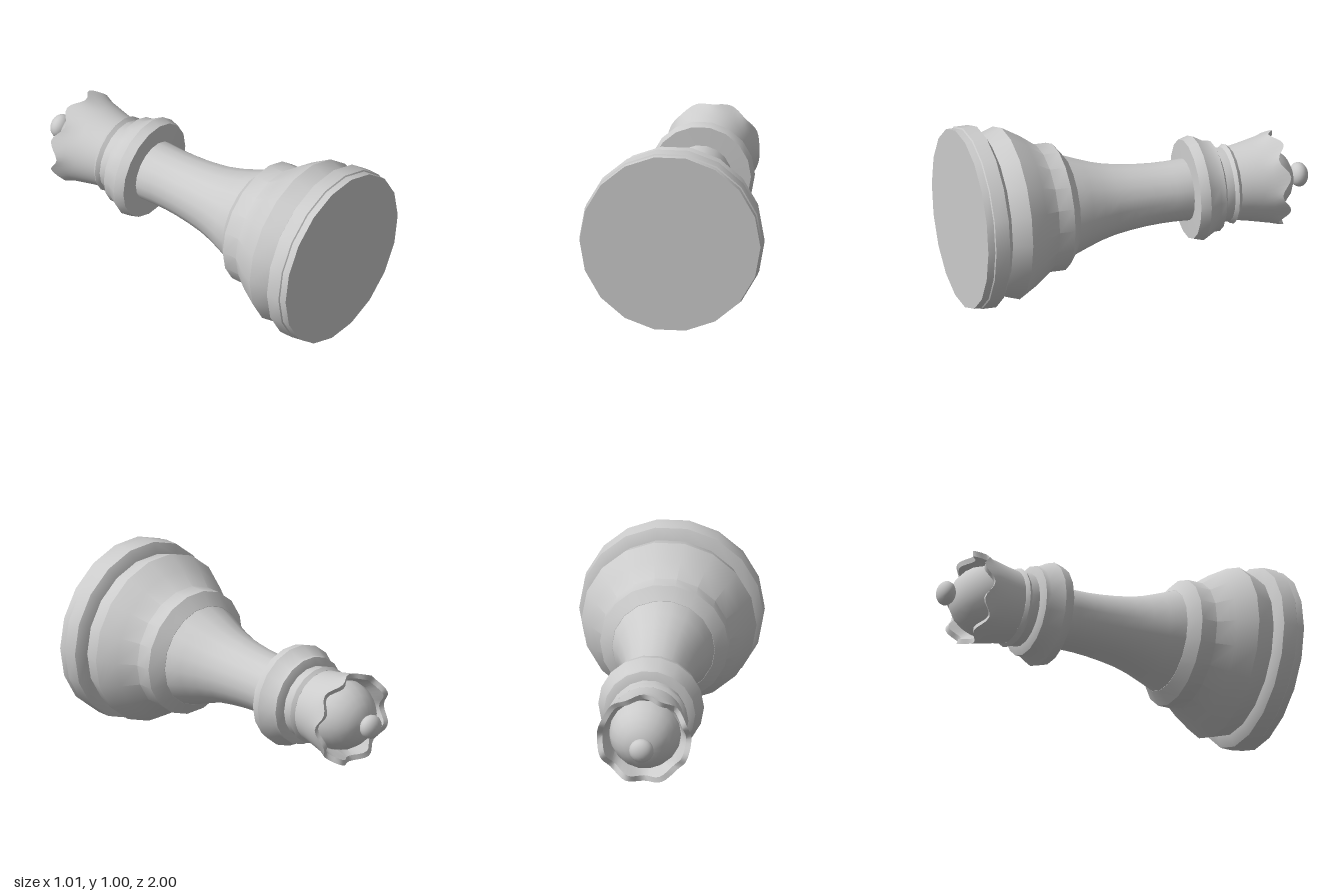
import * as THREE from 'three';
import { toCreasedNormals } from 'three/addons/utils/BufferGeometryUtils.js';

const AXIS_Y = 0.5; // height of the lying piece's axis
const SIDES = 18;
const CREASE = THREE.MathUtils.degToRad(36);

export function createModel() {
  const model = new THREE.Group();
  model.name = 'chessPiece';
  const material = new THREE.MeshStandardMaterial({ color: 0xcccccc });

  // Turns a [radius, distance along the axis] profile; reshape may move vertices.
  function turned(name, profile, sides = SIDES, reshape = null) {
    const points = profile.map(([r, h]) => new THREE.Vector2(r, h));
    let geometry = new THREE.LatheGeometry(points, sides, Math.PI / 2);
    if (reshape) reshape(geometry.attributes.position, points.length);
    geometry = toCreasedNormals(geometry, CREASE);
    geometry.rotateX(-Math.PI / 2); // piece lies down, base facing the front
    geometry.translate(0, AXIS_Y, 0);
    const mesh = new THREE.Mesh(geometry, material);
    mesh.name = name;
    model.add(mesh);
    return mesh;
  }

  // Foot disc with its raised band
  turned('foot', [
    [0, -1], [0.5, -1], [0.5, -0.96], [0.507, -0.955],
    [0.507, -0.875], [0.445, -0.84], [0.4, -0.84],
  ]);

  // Bell-shaped lower body and its shoulder ring
  turned('lowerBody', [
    [0.445, -0.845], [0.481, -0.735], [0.42, -0.63], [0.354, -0.54],
    [0.354, -0.45], [0.284, -0.395], [0.25, -0.395],
  ]);

  // Concave shaft
  turned('shaft', [
    [0.284, -0.4], [0.25, -0.31], [0.22, -0.225], [0.198, -0.14],
    [0.184, -0.05], [0.174, 0.04], [0.169, 0.12], [0.168, 0.2], [0.172, 0.31],
  ]);

  // Wide collar with a stepped ring
  turned('collar', [
    [0.15, 0.295], [0.276, 0.3], [0.291, 0.355], [0.252, 0.425],
    [0.252, 0.455], [0.205, 0.475], [0.15, 0.475],
  ]);

  // Narrow neck with a thin bead
  turned('neckBead', [
    [0.206, 0.47], [0.205, 0.52], [0.222, 0.54], [0.205, 0.56], [0.17, 0.565],
  ]);

  // Flared hollow crown with eight scallops around its rim
  const rimRows = [4, 5];
  turned('crown', [
    [0.203, 0.558], [0.214, 0.62], [0.227, 0.68], [0.24, 0.74],
    [0.26, 0.803], [0.23, 0.797], [0.2, 0.72], [0.15, 0.69],
  ], 64, (position, rows) => {
    for (let i = 0; i < position.count; i++) {
      if (!rimRows.includes(i % rows)) continue;
      const angle = Math.atan2(position.getZ(i), position.getX(i));
      position.setY(i, position.getY(i) - 0.026 * Math.cos(8 * angle));
    }
  });

  // Dome inside the crown
  turned('dome', [
    [0.2, 0.69], [0.195, 0.745], [0.178, 0.795], [0.148, 0.84],
    [0.108, 0.877], [0.06, 0.9], [0, 0.906],
  ]);

  // Slightly flattened ball at the tip
  const ball = new THREE.Mesh(new THREE.SphereGeometry(0.068, SIDES, 12), material);
  ball.name = 'tipBall';
  ball.scale.y = 0.051 / 0.068;
  ball.rotation.x = -Math.PI / 2;
  ball.position.set(0, AXIS_Y, -0.949);
  model.add(ball);

  return model;
}
